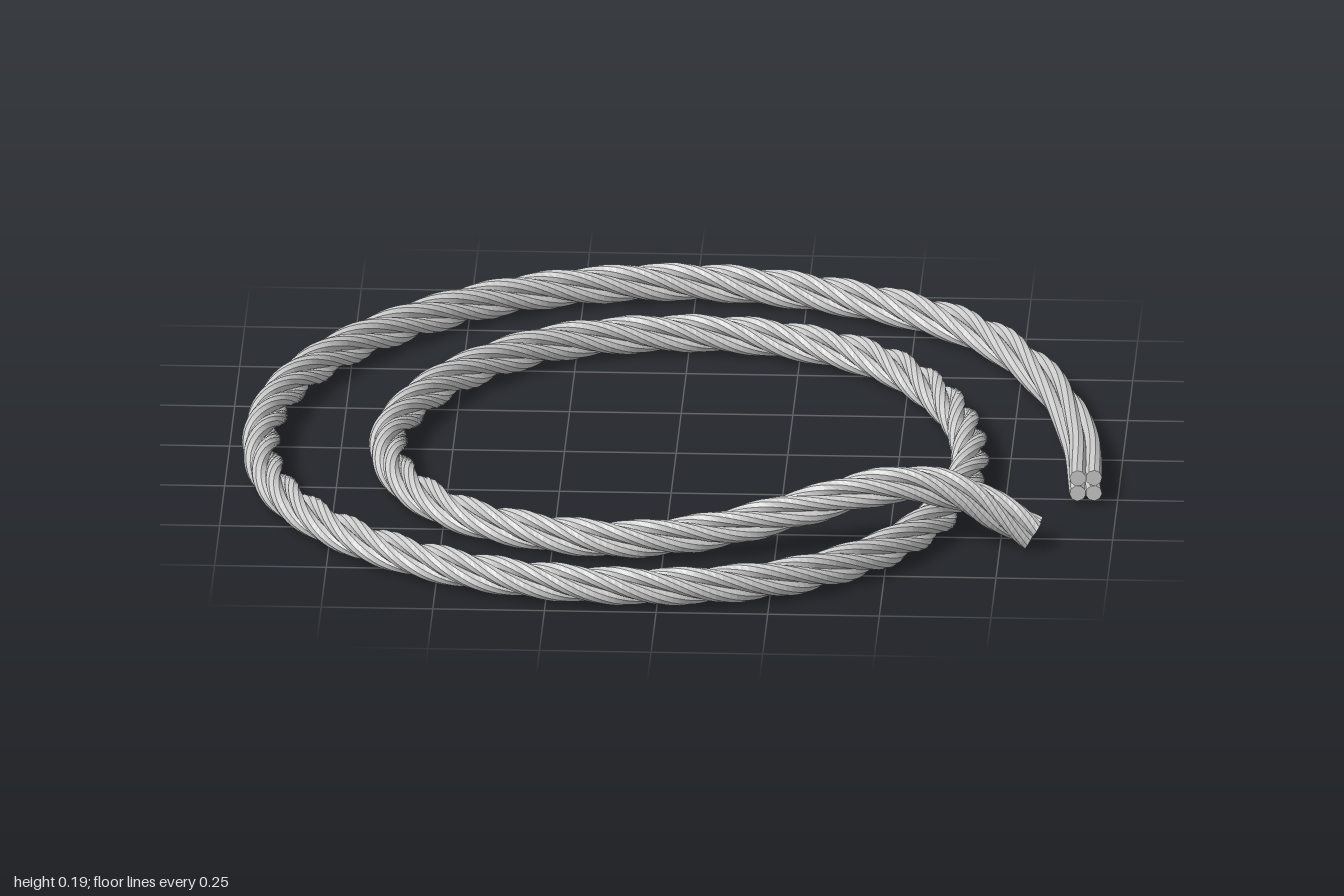
import * as THREE from 'three';

const STRANDS = 4, SIDES = 9, STEPS = 640;
const STRAND_RADIUS = 0.0185, LAY_RADIUS = 0.0255;

// Centre line of the coil: outer turn, inner turn, then the end crossing over
const REST = 0.058;
const path = [
  [0.93, 0.28], [0.905, 0], [0.82, -0.35], [0.635, -0.68], [0.33, -0.88], [-0.03, -0.957],
  [-0.39, -0.865], [-0.7, -0.6], [-0.875, -0.28], [-0.925, 0.08], [-0.86, 0.42], [-0.67, 0.7],
  [-0.38, 0.89], [-0.03, 0.955], [0.27, 0.89], [0.47, 0.73], [0.58, 0.55], [0.64, 0.36],
  [0.665, 0.13], [0.61, -0.18], [0.44, -0.47], [0.2, -0.61], [-0.03, -0.635], [-0.29, -0.565],
  [-0.5, -0.36], [-0.61, -0.12], [-0.64, 0.1], [-0.58, 0.35], [-0.42, 0.55], [-0.12, 0.66],
  [0.1, 0.635, 0.07], [0.3, 0.585, 0.108], [0.45, 0.555, 0.146], [0.57, 0.54, 0.155],
  [0.67, 0.54, 0.132], [0.75, 0.543, 0.09], [0.825, 0.547, 0.045],
];

// Frames along the centre line, with the twist easing in from the straight end
function ropeFrames() {
  const curve = new THREE.CatmullRomCurve3(
    path.map(([x, z, y = REST]) => new THREE.Vector3(x, y, z)), false, 'centripetal');
  curve.arcLengthDivisions = 1500;
  const length = curve.getLength();
  const frames = [];
  let twist = Math.PI / 4;
  for (let i = 0; i <= STEPS; i++) {
    const u = i / STEPS;
    const tangent = curve.getTangentAt(u);
    const side = new THREE.Vector3().crossVectors(tangent, new THREE.Vector3(0, 1, 0)).normalize();
    const up = new THREE.Vector3().crossVectors(side, tangent);
    frames.push({ centre: curve.getPointAt(u), side, up, twist });
    const ease = THREE.MathUtils.smoothstep(u * length, 0.1, 1.5);
    twist -= (0.1 + 0.9 * ease) * (length / STEPS) * (Math.PI * 2 / 0.55);
  }
  return frames;
}

// One strand: a round section carried around the centre line, closed at both ends
function strandGeometry(frames, phase) {
  const positions = [], index = [];
  const add = (f, a, b) => {
    const p = f.centre.clone().addScaledVector(f.side, a).addScaledVector(f.up, b);
    positions.push(p.x, p.y, p.z);
  };
  for (const f of frames) {
    const lay = f.twist + phase;
    for (let j = 0; j < SIDES; j++) {
      const t = lay + (j / SIDES) * Math.PI * 2;
      add(f, LAY_RADIUS * Math.cos(lay) + STRAND_RADIUS * Math.cos(t),
        LAY_RADIUS * Math.sin(lay) + STRAND_RADIUS * Math.sin(t));
    }
  }
  for (let i = 0; i < STEPS; i++) {
    for (let j = 0; j < SIDES; j++) {
      const k = (j + 1) % SIDES;
      const a = i * SIDES + j, b = i * SIDES + k, c = a + SIDES, d = b + SIDES;
      index.push(a, b, c, b, d, c);
    }
  }
  // End caps
  const last = STEPS * SIDES;
  for (let j = 1; j < SIDES - 1; j++) {
    index.push(0, j + 1, j, last, last + j, last + j + 1);
  }
  const geometry = new THREE.BufferGeometry();
  geometry.setAttribute('position', new THREE.Float32BufferAttribute(positions, 3));
  geometry.setIndex(index);
  geometry.computeVertexNormals();
  return geometry;
}

export function createModel() {
  const rope = new THREE.Group();
  rope.name = 'coiledRope';
  const material = new THREE.MeshStandardMaterial({
    color: 0xcccccc, flatShading: true, side: THREE.DoubleSide,
  });
  const frames = ropeFrames();
  for (let s = 0; s < STRANDS; s++) {
    const strand = new THREE.Mesh(strandGeometry(frames, (s / STRANDS) * Math.PI * 2), material);
    strand.name = `strand${s + 1}`;
    rope.add(strand);
  }
  return rope;
}
